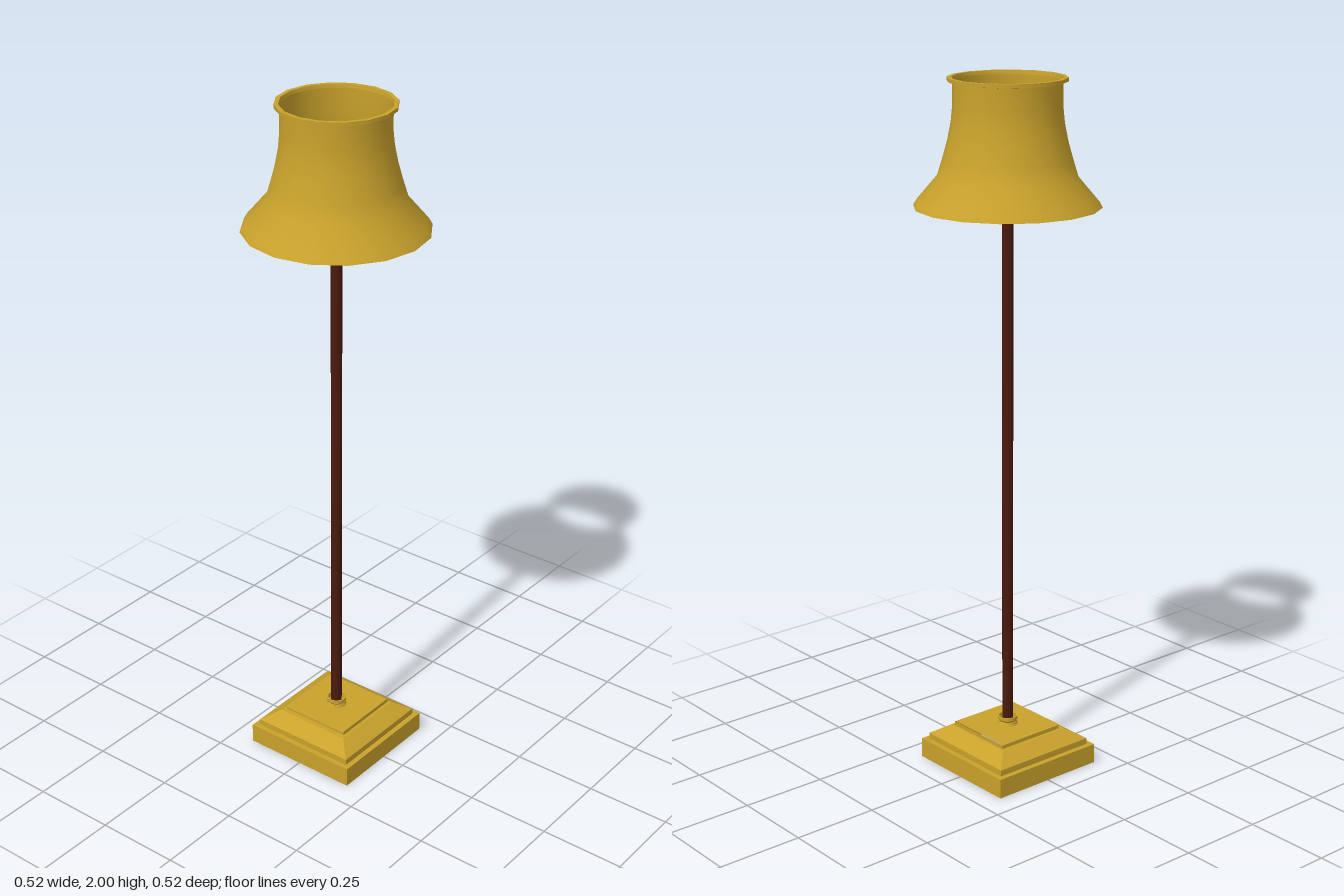
import * as THREE from 'three';
import { toCreasedNormals } from 'three/addons/utils/BufferGeometryUtils.js';

const brass = new THREE.MeshStandardMaterial({ color: 0xc9a22c, side: THREE.DoubleSide });
const wood = new THREE.MeshStandardMaterial({ color: 0x4a1a0e });

// Turned shell from [radius, height] pairs
function turned(name, profile, sides, crease = 0.6) {
  const points = profile.map(([r, y]) => new THREE.Vector2(r, y));
  const mesh = new THREE.Mesh(toCreasedNormals(new THREE.LatheGeometry(points, sides), crease), brass);
  mesh.name = name;
  return mesh;
}

// Square shell from [half width, height] pairs
function square(name, profile) {
  const mesh = turned(name, profile.map(([w, y]) => [w * Math.SQRT2, y]), 4, 0.1);
  mesh.geometry.rotateY(Math.PI / 4);
  return mesh;
}

export function createModel() {
  const lamp = new THREE.Group();
  lamp.name = 'floorLamp';

  // Stepped square base, hollow underneath
  const base = new THREE.Group();
  base.name = 'base';
  base.add(square('baseFoot', [[0.18, 0], [0.18, 0.058], [0.163, 0.058]]));
  base.add(square('baseSlope', [[0.164, 0.056], [0.164, 0.076], [0.118, 0.106], [0.104, 0.106]]));

  // Top plate with a round hole for the pole
  const cap = square('baseCap', [[0.108, 0.106], [0.108, 0.117]]);
  const plateShape = new THREE.Shape([[-1, -1], [1, -1], [1, 1], [-1, 1]]
    .map(([x, y]) => new THREE.Vector2(x * 0.108, y * 0.108)));
  plateShape.holes.push(new THREE.Path().absarc(0, 0.004, 0.026, 0, Math.PI * 2, true));
  const plateGeometry = new THREE.ShapeGeometry(plateShape, 8);
  plateGeometry.rotateX(-Math.PI / 2).translate(0, 0.117, 0);
  const plate = new THREE.Mesh(plateGeometry, brass);
  plate.name = 'baseTop';
  cap.position.z = plate.position.z = -0.004;
  cap.position.z = -0.004;
  plate.position.z = 0.004 - 0.004;
  base.add(cap, plate);

  // Collar around the pole
  base.add(turned('collar', [
    [0.03, 0.117], [0.025, 0.128], [0.029, 0.133], [0.029, 0.143], [0.025, 0.143], [0.025, 0.117],
  ], 16));

  // Small spokes holding the pole in the collar
  for (let i = 0; i < 3; i++) {
    const spoke = new THREE.Mesh(new THREE.BoxGeometry(0.014, 0.006, 0.005).translate(0.02, 0.125, 0), brass);
    spoke.name = 'collarSpoke';
    spoke.rotation.y = Math.PI / 3 + (i * Math.PI * 2) / 3;
    base.add(spoke);
  }
  lamp.add(base);

  // Pole
  const poleBottom = 0.11;
  const poleTop = 1.8;
  const pole = new THREE.Mesh(new THREE.CylinderGeometry(0.016, 0.016, poleTop - poleBottom, 12), wood);
  pole.name = 'pole';
  pole.position.y = (poleBottom + poleTop) / 2;
  lamp.add(pole);

  // Flared shade, open at both ends
  lamp.add(turned('shade', [
    [0.252, 1.651], [0.259, 1.651], [0.25, 1.667], [0.192, 1.735], [0.178, 1.78],
    [0.164, 1.83], [0.154, 1.88], [0.15, 1.92], [0.15, 1.99],
  ], 16));

  // Rolled lip at the top of the shade
  lamp.add(turned('shadeLip', [[0.15, 1.988], [0.164, 1.99], [0.164, 2], [0.152, 2], [0.15, 1.988]], 16));

  return lamp;
}
